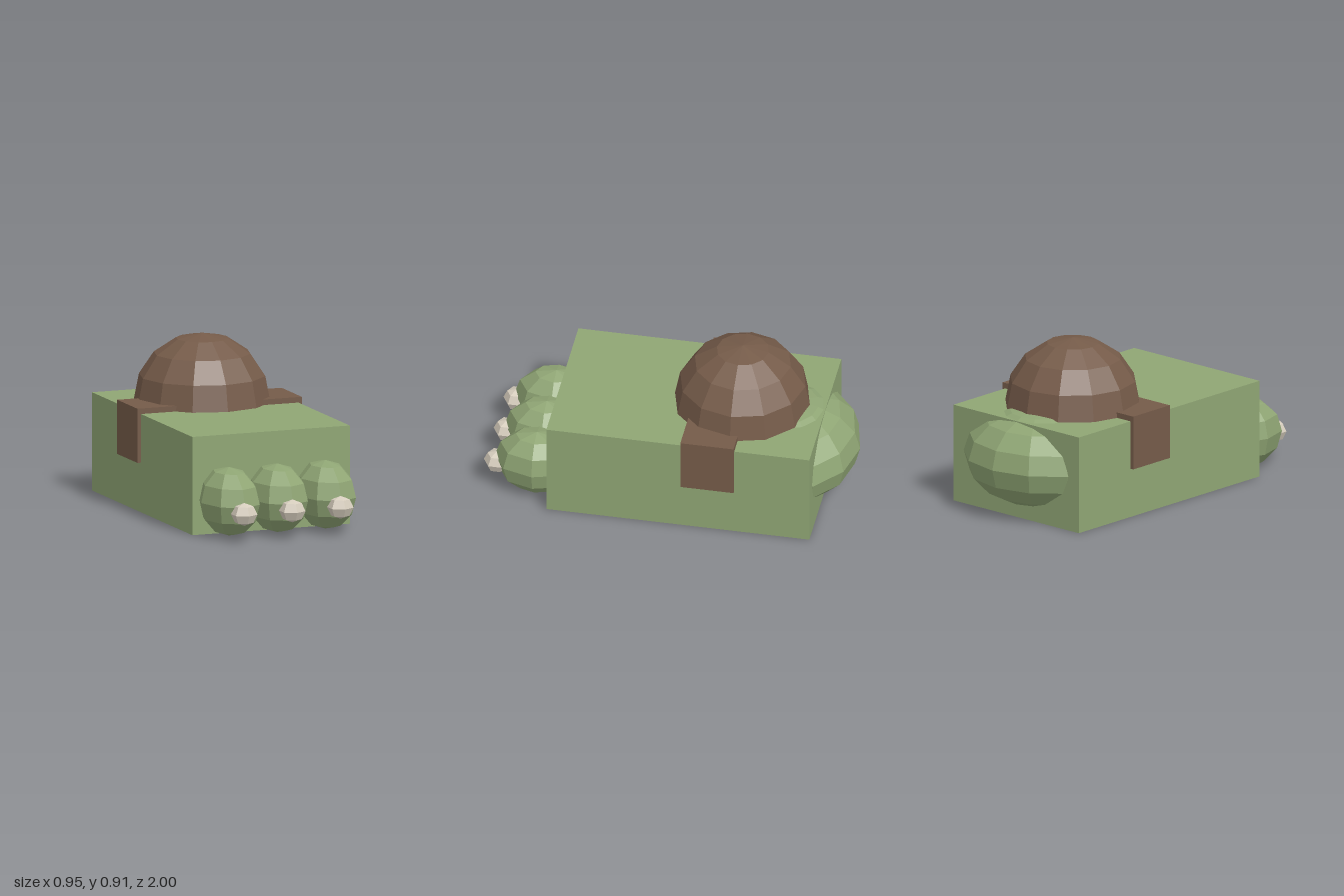
import * as THREE from 'three';

function material(name, color) {
  const m = new THREE.MeshStandardMaterial({ color, flatShading: true });
  m.name = name;
  return m;
}

export function createModel() {
  const group = new THREE.Group();
  group.name = 'foot';
  const green = material('skin green', 0x8fa574);
  const brown = material('leather brown', 0x755b49);
  const bone = material('nail bone', 0xd6cdbd);

  const add = (name, geometry, mat, x, y, z) => {
    const mesh = new THREE.Mesh(geometry, mat);
    mesh.name = name;
    mesh.position.set(x, y, z);
    group.add(mesh);
    return mesh;
  };
  // Faceted ball stretched to the given radii
  const ball = (rx, ry, rz, sides, rings, turn = 0) =>
    new THREE.SphereGeometry(1, sides, rings).rotateY(turn).scale(rx, ry, rz);

  // Foot block and rounded heel
  add('footBlock', new THREE.BoxGeometry(0.91, 0.535, 1.435), green, 0, 0.2675, -0.0925);
  add('heel', ball(0.435, 0.27, 0.37, 12, 8), green, 0, 0.3, -0.63);

  // Ankle dome and the strap across the foot
  add('ankle', ball(0.37, 0.37, 0.37, 12, 8), brown, 0, 0.535, -0.36);
  add('strap', new THREE.BoxGeometry(0.95, 0.295, 0.29), brown, 0, 0.4175, -0.255);

  // Three toes, each with a nail
  ['right', 'middle', 'left'].forEach((side, i) => {
    const x = (i - 1) * 0.278;
    add(side + 'Toe', ball(0.16, 0.187, 0.23, 8, 6), green, x, 0.188, 0.71);
    add(side + 'Nail', ball(0.072, 0.0625, 0.072, 6, 4, Math.PI / 2), bone, x, 0.153, 0.928);
  });

  return group;
}
